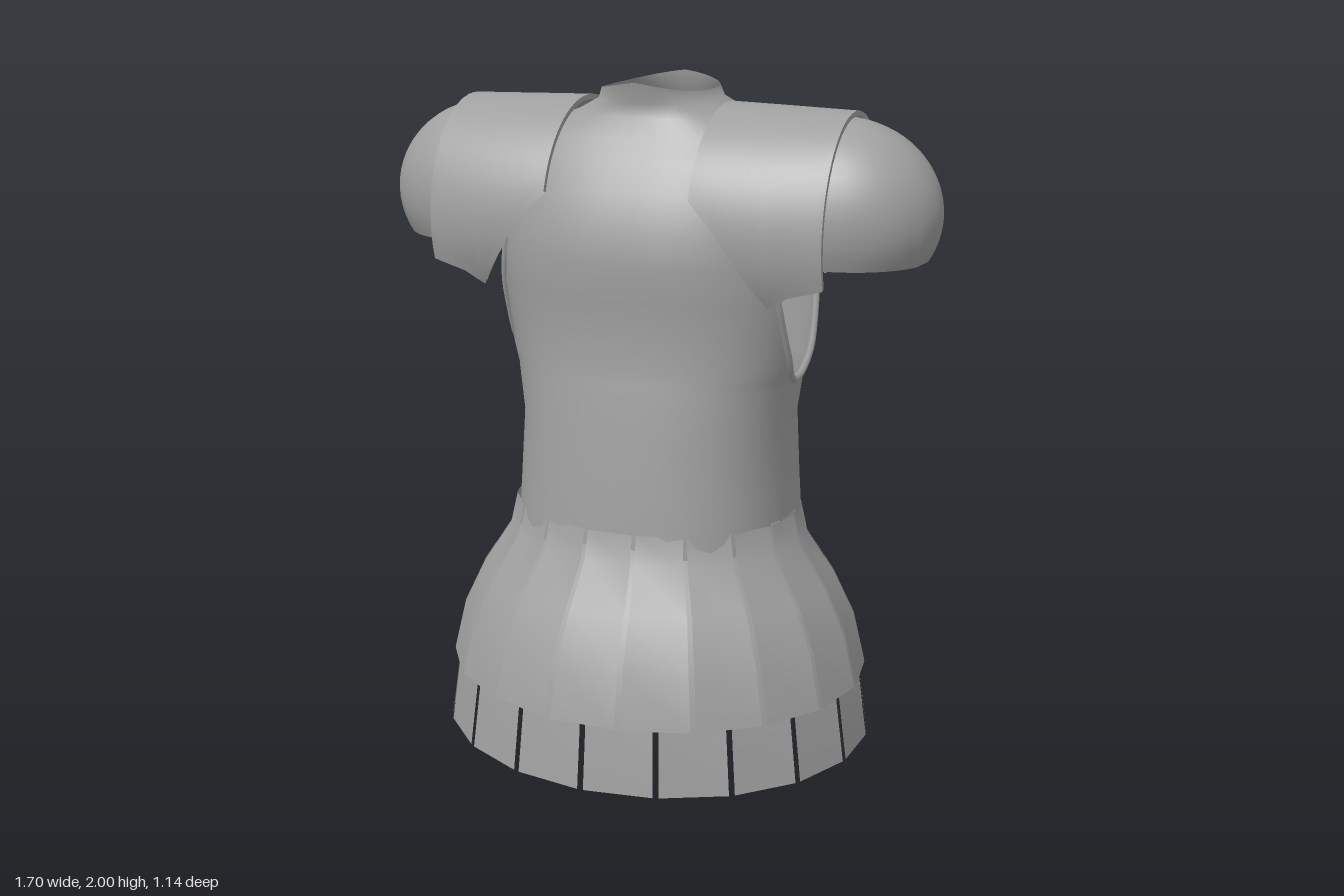
import * as THREE from 'three';
import { mergeVertices, mergeGeometries } from 'three/addons/utils/BufferGeometryUtils.js';

const steel = new THREE.MeshStandardMaterial({ color: 0xa0a0a0, side: THREE.DoubleSide });
steel.name = 'plain steel';

// Smooth sheet through the points f(u, v), with u and v from 0 to 1
function sheet(f, nu, nv) {
  const pos = [], index = [];
  for (let j = 0; j <= nv; j++)
    for (let i = 0; i <= nu; i++) pos.push(...f(i / nu, j / nv));
  for (let j = 0; j < nv; j++)
    for (let i = 0; i < nu; i++) {
      const a = j * (nu + 1) + i, b = a + 1, c = a + nu + 1, d = c + 1;
      index.push(a, b, d, a, d, c);
    }
  const g = new THREE.BufferGeometry();
  g.setAttribute('position', new THREE.Float32BufferAttribute(pos, 3));
  g.setIndex(index);
  return g;
}

function addMesh(parent, name, geometry) {
  geometry.computeVertexNormals();
  const m = new THREE.Mesh(geometry, steel);
  m.name = name;
  parent.add(m);
  return m;
}

// Piecewise linear lookup in rows [key, ...values]
function lookup(rows, key) {
  let i = 0;
  while (i < rows.length - 2 && (rows[i + 1][0] - key) * Math.sign(rows[1][0] - rows[0][0]) < 0) i++;
  const t = (key - rows[i][0]) / (rows[i + 1][0] - rows[i][0]);
  return rows[i].map((v, k) => v + (rows[i + 1][k] - v) * t);
}

// Torso rows: height, half width, front z, back z, armhole half width
const TORSO = [
  [0.65, 0.43, 0.37, -0.385, 0], [0.8, 0.42, 0.36, -0.38, 0], [1.0, 0.41, 0.34, -0.37, 0],
  [1.13, 0.43, 0.325, -0.365, 0], [1.15, 0.435, 0.32, -0.365, 0.06], [1.2, 0.45, 0.315, -0.36, 0.1],
  [1.3, 0.465, 0.31, -0.36, 0.15], [1.4, 0.48, 0.32, -0.36, 0.19], [1.5, 0.48, 0.33, -0.355, 0.22],
  [1.6, 0.48, 0.32, -0.325, 0.23], [1.7, 0.47, 0.285, -0.315, 0.2], [1.78, 0.46, 0.24, -0.305, 0.13],
  [1.84, 0.42, 0.2, -0.28, 0], [1.9, 0.25, 0.165, -0.25, 0], [1.94, 0.175, 0.165, -0.22, 0],
  [2.0, 0.16, 0.18, -0.21, 0],
];
const ZC = -0.03, POWER = 2.4;

// Point on a torso row; s runs from one armhole edge (-1) to the other (1)
function torsoPoint(row, s, back) {
  const [y, hw, zf, zb, w] = row;
  const depth = back ? ZC - zb : zf - ZC;
  const a = s * Math.acos(Math.pow(w / depth, POWER / 2));
  const x = hw * Math.sign(a) * Math.pow(Math.abs(Math.sin(a)), 2 / POWER);
  const z = depth * Math.pow(Math.max(0, Math.cos(a)), 2 / POWER);
  const dip = y > 1.99 ? 0.03 * Math.abs(Math.sin(a)) : 0;
  return [x, y - dip, back ? ZC - z : ZC + z];
}

function buildTorso(group) {
  const n = TORSO.length - 1;
  const panels = [false, true].map((back) =>
    sheet((u, v) => torsoPoint(TORSO[Math.round(v * n)], (u * 2 - 1) * (back ? -1 : 1), back), 28, n));
  addMesh(group, 'torso', mergeVertices(mergeGeometries(panels), 1e-4));

  // Rolled rims of the armholes
  const open = TORSO.slice(3, 13);
  for (const side of [1, -1]) {
    const front = open.map((r) => torsoPoint(r, side, false));
    const rear = open.slice(1, -1).map((r) => torsoPoint(r, side, true)).reverse();
    const path = new THREE.CatmullRomCurve3([...front, ...rear].map((p) => new THREE.Vector3(...p)), true);
    addMesh(group, side > 0 ? 'leftArmholeRim' : 'rightArmholeRim', new THREE.TubeGeometry(path, 60, 0.011, 6, true));
  }

  // Narrow gusset across the waist opening
  const gusset = sheet((u, v) => [(-0.12 + 0.2 * u) * v, 0.68, -0.36 + 0.7 * v], 2, 1);
  addMesh(group, 'waistGusset', gusset);
}

// Shoulder cap: an arch whose lower edge runs diagonally to the armpit
const CAP_EDGE = [[0.22, 1.7], [0.3, 1.62], [0.44, 1.41], [0.5, 1.45], [0.6, 1.48]];
function capPoint(side, u, v, inset) {
  const x = 0.22 + 0.38 * v;
  const low = Math.asin((lookup(CAP_EDGE, x)[1] - 1.6) / 0.34);
  const a = low + (Math.PI - 2 * low) * u;
  const rz = 0.327 - 0.035 * v * v - inset;
  return [side * x, 1.6 + (0.34 - inset) * Math.sin(a) - 0.01 * v, 0.01 + rz * Math.cos(a)];
}

function buildShoulder(group, side) {
  const shoulder = new THREE.Group();
  shoulder.name = side > 0 ? 'leftShoulder' : 'rightShoulder';
  group.add(shoulder);
  addMesh(shoulder, 'shoulderCap', sheet((u, v) => capPoint(side, u, v, 0), 32, 19));
  addMesh(shoulder, 'shoulderCapLining', sheet((u, v) => capPoint(side, u, v, 0.015), 32, 19));
  for (const v of [0, 1])
    addMesh(shoulder, 'shoulderCapEdge', sheet((u, t) => capPoint(side, u, v, 0.015 * t), 32, 1));

  // Domed sleeve, open underneath
  addMesh(shoulder, 'sleeve', sheet((u, v) => {
    const s = v < 0.2 ? 0 : Math.sin(((v - 0.2) / 0.8) * Math.PI / 2);
    const x = v < 0.2 ? 0.42 + 0.65 * v : 0.55 + 0.3 * s;
    const k = Math.max(0.001, Math.sqrt(1 - s * s));
    const low = Math.asin(Math.max(-1, -0.13 / (0.27 * k)));
    const a = low + (Math.PI - 2 * low) * u;
    return [side * x, 1.64 + 0.27 * k * Math.sin(a), -0.015 + 0.255 * k * Math.cos(a)];
  }, 28, 20));
}

// Skirt profile: height, half width, half depth
const SKIRT = [
  [0.72, 0.435, 0.365], [0.63, 0.455, 0.385], [0.5, 0.54, 0.465], [0.36, 0.605, 0.54],
  [0.2, 0.643, 0.575], [0, 0.672, 0.598],
];

// One flat-fronted hanging strip centred on an angle measured from the front
function buildStrip(group, name, angle, half, bottom, lift) {
  const rows = SKIRT.filter((r) => r[0] >= bottom);
  const n = rows.length - 1;
  addMesh(group, name, sheet((u, v) => {
    const [y, w, d] = rows[Math.round(v * n)];
    const a = angle + (u - 0.5) * 2 * half;
    return [(w + lift) * Math.sin(a), y, (d + lift) * Math.cos(a)];
  }, 1, n));
}

function buildSkirt(group) {
  const skirt = new THREE.Group();
  skirt.name = 'skirt';
  group.add(skirt);
  const pitch = THREE.MathUtils.degToRad(19.5);
  // Long under strips, leaving the back open
  for (let i = -8; i < 8; i++) buildStrip(skirt, 'underStrip', (i + 0.5) * pitch, pitch * 0.46, 0, 0);
  // Shorter strips covering the gaps
  for (let i = -7; i <= 7; i++) buildStrip(skirt, 'overStrip', i * pitch, pitch * 0.46, 0.2, 0.012);
}

export function createModel() {
  const model = new THREE.Group();
  model.name = 'bodyArmour';
  buildTorso(model);
  for (const side of [1, -1]) buildShoulder(model, side);
  buildSkirt(model);
  return model;
}
